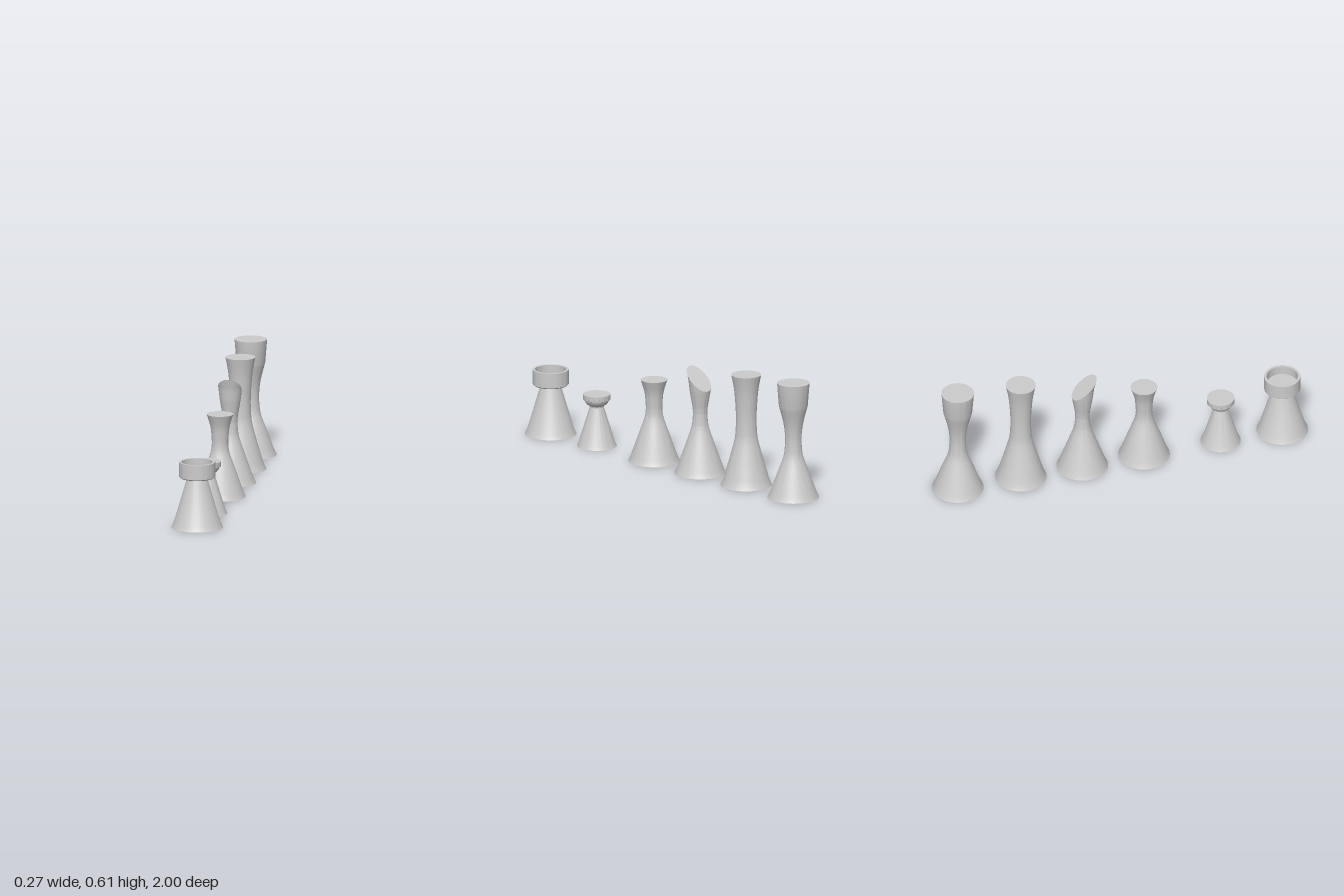
import * as THREE from 'three';
import { toCreasedNormals } from 'three/addons/utils/BufferGeometryUtils.js';

const SIDES = 64;
const material = new THREE.MeshStandardMaterial({ color: 0xcccccc });

const points = (pairs) => pairs.map(([r, y]) => new THREE.Vector2(r, y));

// Smooth run through [radius, height] pairs
const curve = (pairs, n = 24) => new THREE.SplineCurve(points(pairs)).getPoints(n);

// Flat underside and bevelled foot, ending where the cone starts
const foot = (r, h = 0.027) => points([[0, 0], [r, 0], [r * 0.902, h]]);

function turned(name, z, profile) {
  const geo = toCreasedNormals(new THREE.LatheGeometry(profile, SIDES), 0.4);
  const mesh = new THREE.Mesh(geo, material);
  mesh.name = name;
  mesh.position.z = z;
  return mesh;
}

// Flaring head cut off by a plane sloping up towards the front
function slantedHead(name, z, y0) {
  const heights = [y0, 0.35, 0.39, 0.44, 0.5, 0.56];
  const radii = [0.037, 0.039, 0.046, 0.0545, 0.061, 0.0755];
  const radiusAt = (y) => {
    let i = 0;
    while (i < heights.length - 2 && y > heights[i + 1]) i++;
    const t = (y - heights[i]) / (heights[i + 1] - heights[i]);
    return THREE.MathUtils.lerp(radii[i], radii[i + 1], t);
  };
  const plane = (dz) => 0.49 + 0.88 * dz;
  const geo = new THREE.CylinderGeometry(1, 1, 1, SIDES, 20);
  const pos = geo.attributes.position;
  for (let i = 0; i < pos.count; i++) {
    const x = pos.getX(i), zz = pos.getZ(i), t = pos.getY(i) + 0.5;
    // Find the height at which this side meets the plane
    let lo = y0, hi = 0.6;
    for (let k = 0; k < 30; k++) {
      const mid = (lo + hi) / 2;
      if (mid < plane(zz * radiusAt(mid))) lo = mid; else hi = mid;
    }
    const y = y0 + t * (lo - y0);
    const r = radiusAt(y);
    pos.setXYZ(i, x * r, y, zz * r);
  }
  const mesh = new THREE.Mesh(toCreasedNormals(geo, 0.5), material);
  mesh.name = name;
  mesh.position.z = z;
  return mesh;
}

export function createModel() {
  const set = new THREE.Group();
  set.name = 'chessPieces';

  // Rook: straight cone with a hollow cup on top
  set.add(turned('rook', 0.87, [
    ...foot(0.133),
    ...points([[0.052, 0.258], [0.086, 0.26], [0.093, 0.266], [0.093, 0.343],
      [0.08, 0.343], [0.08, 0.295], [0, 0.295]]),
  ]));

  // Pawn: small cone with a round-bottomed button head
  set.add(turned('pawn', 0.54, [
    ...foot(0.103, 0.022),
    ...points([[0.036, 0.208]]),
    ...curve([[0.037, 0.214], [0.052, 0.224], [0.061, 0.237], [0.064, 0.246]], 10),
    ...points([[0.071, 0.249], [0.071, 0.275], [0, 0.275]]),
  ]));

  // Knight: short waisted piece with a flat flared top
  set.add(turned('knight', 0.13, [
    ...foot(0.133),
    ...curve([[0.119, 0.03], [0.086, 0.125], [0.052, 0.22], [0.043, 0.265],
      [0.0435, 0.31], [0.05, 0.37], [0.069, 0.432]]),
    ...points([[0, 0.432]]),
  ]));

  // Bishop: waisted body under a slanted head
  const bishop = new THREE.Group();
  bishop.name = 'bishop';
  bishop.add(
    turned('bishopBody', -0.2, [
      ...foot(0.133),
      ...curve([[0.119, 0.03], [0.085, 0.125], [0.049, 0.23], [0.04, 0.275], [0.037, 0.32]]),
    ]),
    slantedHead('bishopHead', -0.2, 0.32),
  );
  set.add(bishop);

  // Queen: tall gentle waist with a flat top
  set.add(turned('queen', -0.53, [
    ...foot(0.133),
    ...curve([[0.119, 0.03], [0.09, 0.13], [0.062, 0.235], [0.055, 0.29],
      [0.053, 0.36], [0.056, 0.43], [0.063, 0.51], [0.077, 0.587]]),
    ...points([[0, 0.587]]),
  ]));

  // King: narrow waist rising to a broad crown
  set.add(turned('king', -0.867, [
    ...foot(0.133),
    ...curve([[0.119, 0.03], [0.084, 0.125], [0.053, 0.21], [0.044, 0.265],
      [0.043, 0.33], [0.052, 0.4], [0.074, 0.485]]),
    ...points([[0.084, 0.608], [0, 0.608]]),
  ]));

  return set;
}
